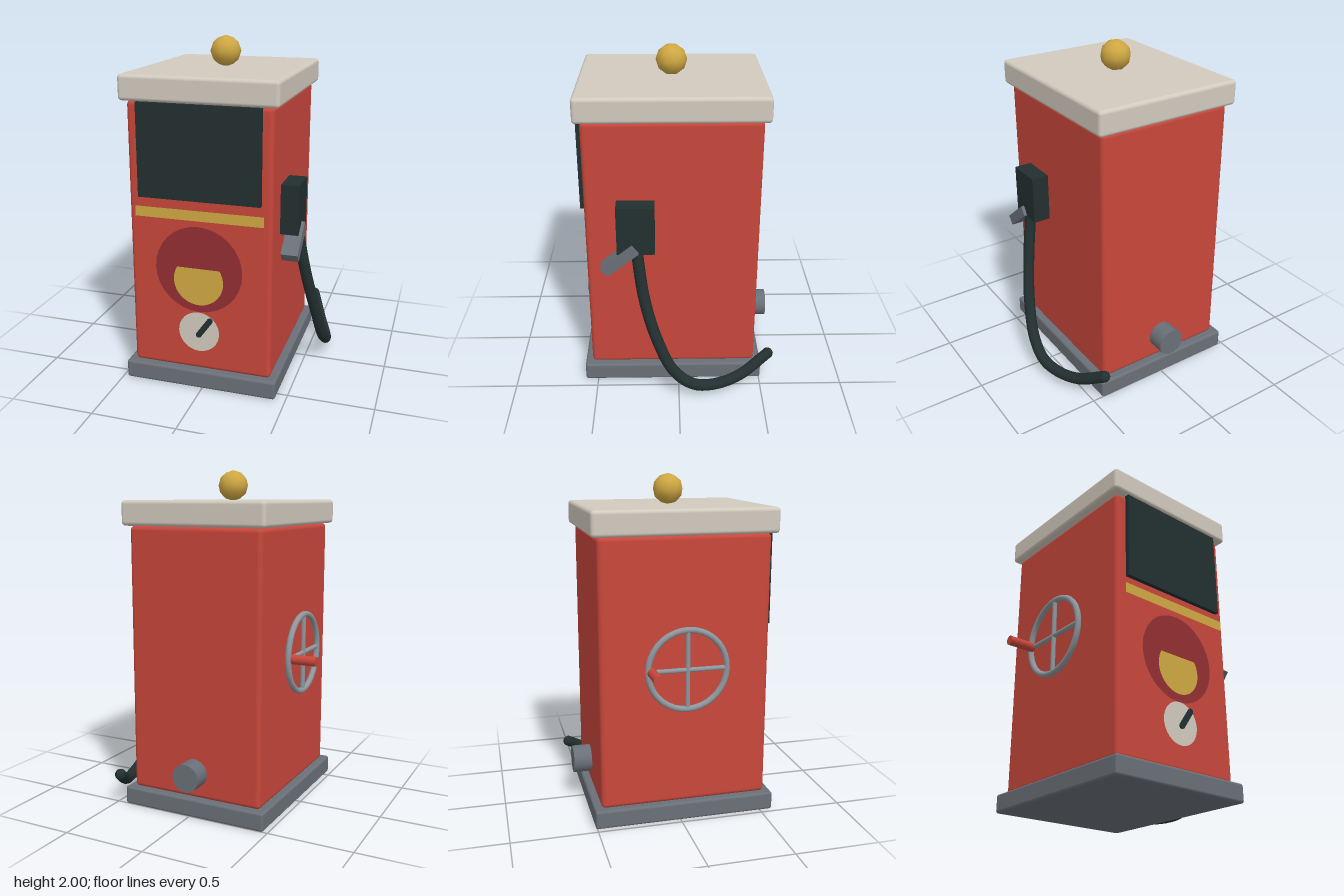
import * as THREE from 'three';
import { RoundedBoxGeometry } from 'three/addons/geometries/RoundedBoxGeometry.js';

const paint = (name, color) => {
  const m = new THREE.MeshStandardMaterial({ color });
  m.name = name;
  return m;
};

export function createModel() {
  const red = paint('red', 0xc8473b);
  const cream = paint('cream', 0xd2cabe);
  const slate = paint('slate grey', 0x6a7078);
  const steel = paint('light steel', 0x8f979d);
  const gold = paint('gold', 0xd0a843);
  const maroon = paint('maroon', 0x932e32);
  const dark = paint('dark green black', 0x232f30);

  const model = new THREE.Group();
  const CX = -0.0175, CZ = 0.034; // centre line of the cabinet

  const add = (name, geometry, material, x = 0, y = 0, z = 0, parent = model) => {
    const mesh = new THREE.Mesh(geometry, material);
    mesh.name = name;
    mesh.position.set(x, y, z);
    parent.add(mesh);
    return mesh;
  };

  // Cabinet
  add('base', new RoundedBoxGeometry(0.915, 0.11, 1.085, 3, 0.015), slate, CX, 0.055, CZ);
  add('body', new RoundedBoxGeometry(0.835, 1.575, 1.0, 3, 0.026), red, CX, 0.8925, CZ);
  add('roof', new RoundedBoxGeometry(0.905, 0.145, 1.07, 3, 0.022), cream, CX, 1.7525, CZ);

  // Roof ball, turned so that a corner points straight up
  const ball = new THREE.IcosahedronGeometry(0.09, 1);
  ball.rotateZ(-Math.atan(2 / (1 + Math.sqrt(5))));
  add('roofBall', ball, gold, CX, 1.91, CZ);

  // Front details
  add('displayPanel', new THREE.BoxGeometry(0.71, 0.535, 0.03), dark, -0.015, 1.411, 0.545);
  add('stripe', new THREE.PlaneGeometry(0.75, 0.06), gold, -0.015, 1.06, 0.556);
  add('emblemDisc', new THREE.CircleGeometry(0.257, 32), maroon, CX, 0.74, 0.556);

  const r = 0.147, tipHeight = 0.285;
  const tangent = Math.PI / 2 - Math.acos(r / tipHeight);
  const drop = new THREE.Shape();
  drop.moveTo(0, tipHeight);
  drop.absarc(0, 0, r, Math.PI - tangent, tangent + Math.PI * 2, false);
  drop.closePath();
  add('emblemDrop', new THREE.ShapeGeometry(drop, 24), gold, CX, 0.675, 0.562);

  add('dialFace', new THREE.CircleGeometry(0.122, 32), cream, CX, 0.36, 0.562);
  const needle = new THREE.Shape();
  needle.absarc(0.058, 0, 0.017, -Math.PI / 2, Math.PI / 2, false);
  needle.absarc(-0.058, 0, 0.017, Math.PI / 2, Math.PI * 1.5, false);
  const needleGeometry = new THREE.ExtrudeGeometry(needle, { depth: 0.008, bevelEnabled: false, curveSegments: 6 });
  add('dialNeedle', needleGeometry, dark, 0.018, 0.393, 0.567).rotation.z = 0.95;

  // Nozzle and its holder
  add('nozzleHolder', new THREE.BoxGeometry(0.11, 0.29, 0.215), dark, 0.45, 1.075, 0.2425);
  add('nozzle', new THREE.BoxGeometry(0.098, 0.062, 0.232), slate, 0.476, 0.894, 0.336).rotation.x = 0.675;

  // Hose sagging from the nozzle towards the back
  const path = new THREE.CatmullRomCurve3([
    [0.475, 0.95, 0.24], [0.527, 0.65, 0.2], [0.575, 0.4, 0.13], [0.607, 0.19, 0.03],
    [0.612, 0.095, -0.09], [0.585, 0.073, -0.22], [0.53, 0.095, -0.37], [0.45, 0.195, -0.545],
  ].map((p) => new THREE.Vector3(...p)));
  add('hose', new THREE.TubeGeometry(path, 48, 0.034, 12), dark);
  for (const t of [0, 1]) {
    const end = path.getPoint(t);
    add('hoseEnd', new THREE.SphereGeometry(0.034, 12, 8), dark, end.x, end.y, end.z);
  }

  // Outlet pipe at the back
  const pipe = new THREE.CylinderGeometry(0.083, 0.083, 0.13, 20);
  pipe.rotateX(Math.PI / 2);
  add('outletPipe', pipe, slate, CX, 0.26, -0.51);

  // Hand wheel with crossed spokes and a crank handle
  const wheel = new THREE.Group();
  wheel.name = 'handWheel';
  wheel.position.set(-0.487, 0.93, 0.03);
  model.add(wheel);
  const rim = new THREE.TorusGeometry(0.231, 0.018, 10, 36);
  rim.rotateY(Math.PI / 2);
  add('wheelRim', rim, steel, 0, 0, 0, wheel);
  for (const angle of [0, Math.PI / 2]) {
    add('wheelSpoke', new THREE.CylinderGeometry(0.014, 0.014, 0.46, 10), steel, 0, 0, 0, wheel).rotation.x = angle;
  }
  const handle = new THREE.CylinderGeometry(0.028, 0.028, 0.165, 14);
  handle.rotateZ(Math.PI / 2);
  add('wheelHandle', handle, red, -0.083, 0, -0.21, wheel);

  return model;
}
